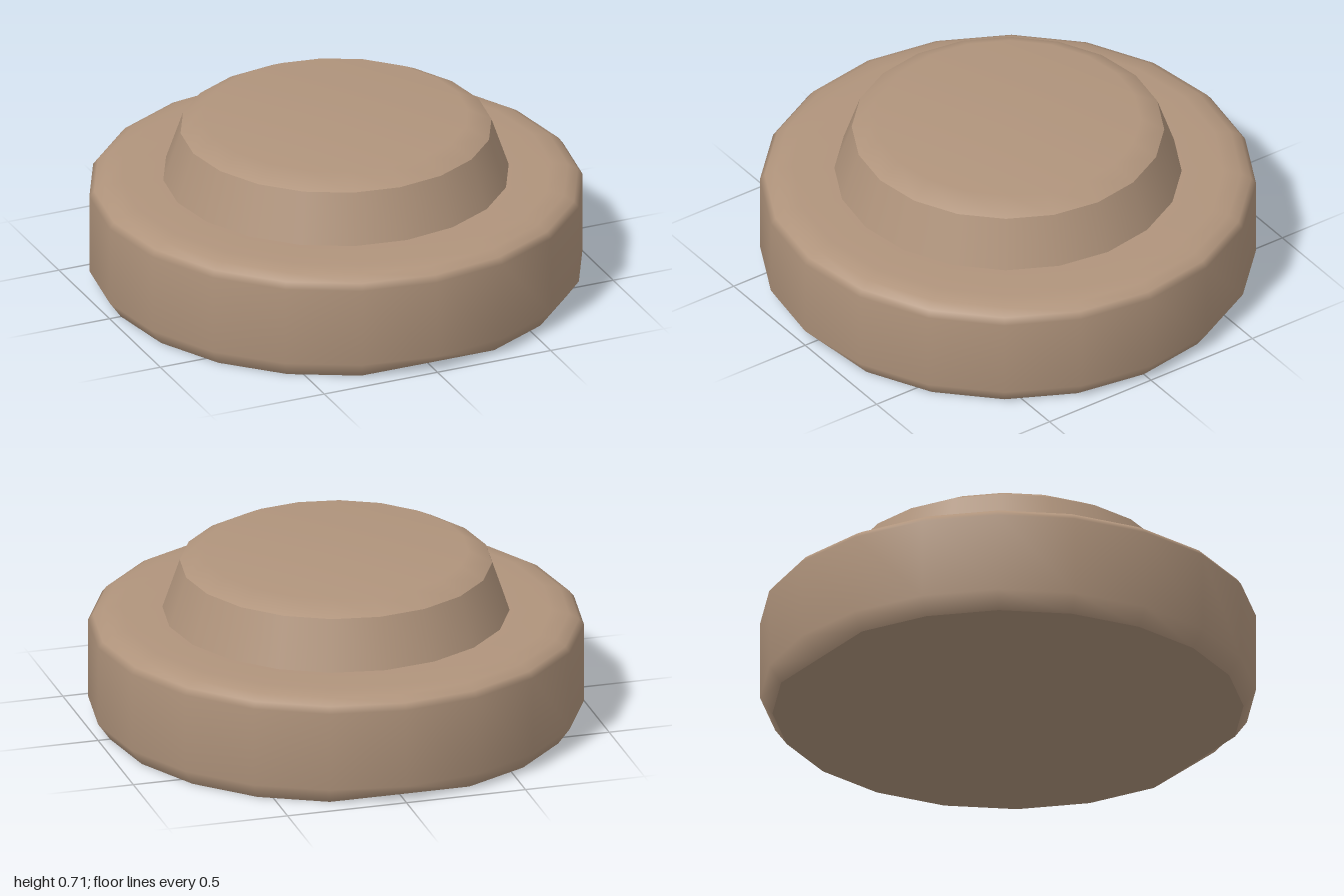
import * as THREE from 'three';

const SIDES = 20;

// Spin a profile of [radius, height] points, listed from bottom to top
function lathe(name, profile, material) {
  const points = profile.map(([r, y]) => new THREE.Vector2(r, y));
  const mesh = new THREE.Mesh(new THREE.LatheGeometry(points, SIDES), material);
  mesh.name = name;
  return mesh;
}

// The bottom rim is cut flat at the front and back
function trimRim(mesh) {
  const pos = mesh.geometry.attributes.position;
  for (let i = 0; i < pos.count; i++) {
    if (pos.getY(i) < 0.001) pos.setZ(i, THREE.MathUtils.clamp(pos.getZ(i), -0.904, 0.904));
  }
  return mesh;
}

export function createModel() {
  const group = new THREE.Group();
  group.name = 'steppedDisc';
  const material = new THREE.MeshStandardMaterial({ color: 0xb0947c });

  // Underside and wide base; separate lathes keep the edges between them sharp
  group.add(trimRim(lathe('underside', [[0, 0], [0.95, 0]], material)));
  group.add(trimRim(lathe('base', [
    [0.95, 0], [1, 0.07], [1, 0.4], [0.98, 0.425], [0.94, 0.448], [0.87, 0.46], [0.7, 0.46],
  ], material)));

  // Tapered upper step with a softly bevelled cap
  group.add(lathe('upperWall', [[0.7, 0.46], [0.63, 0.665]], material));
  group.add(lathe('cap', [[0.63, 0.665], [0.535, 0.715], [0, 0.715]], material));

  return group;
}
